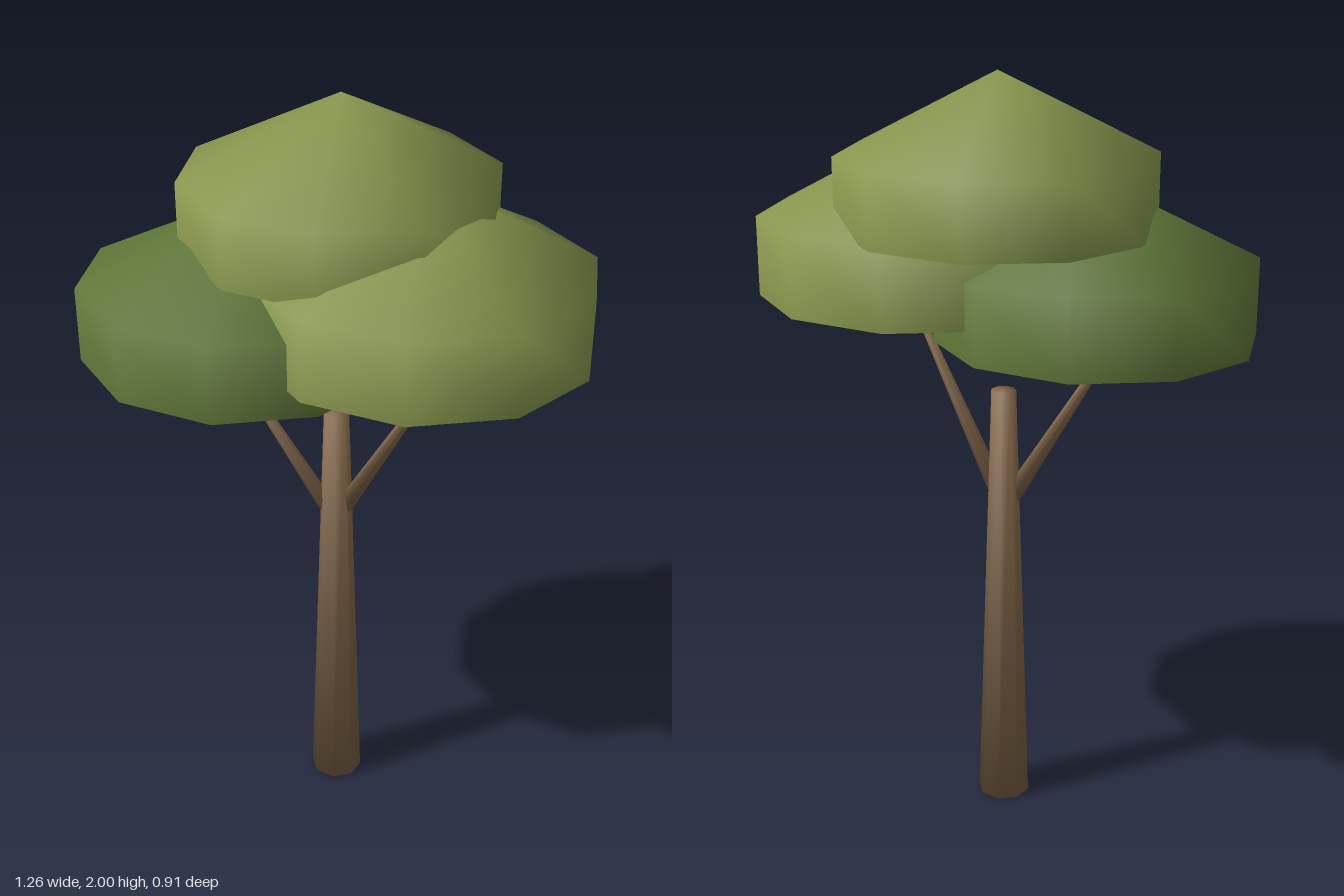
import * as THREE from 'three';
import { mergeVertices } from 'three/addons/utils/BufferGeometryUtils.js';

// Weld a geometry and give it smooth, corner-angle-weighted normals
function smooth(source) {
  source.deleteAttribute('normal');
  source.deleteAttribute('uv');
  const geo = mergeVertices(source, 1e-4);
  const pos = geo.attributes.position;
  const sums = Array.from({ length: pos.count }, () => new THREE.Vector3());
  const point = (i) => new THREE.Vector3().fromBufferAttribute(pos, i);
  for (let t = 0; t < geo.index.count; t += 3) {
    const ids = [0, 1, 2].map((k) => geo.index.getX(t + k));
    const p = ids.map(point);
    const n = new THREE.Vector3().crossVectors(p[1].clone().sub(p[0]), p[2].clone().sub(p[0]));
    if (n.length() < 1e-9) continue;
    n.normalize();
    ids.forEach((id, k) => {
      const a = p[(k + 1) % 3].clone().sub(p[k]);
      const b = p[(k + 2) % 3].clone().sub(p[k]);
      sums[id].addScaledVector(n, a.angleTo(b));
    });
  }
  const normals = sums.flatMap((n) => n.normalize().toArray());
  geo.setAttribute('normal', new THREE.Float32BufferAttribute(normals, 3));
  return geo;
}

export function createModel() {
  const tree = new THREE.Group();
  tree.name = 'tree';

  const bark = new THREE.MeshStandardMaterial({ color: 0x85684a });
  bark.name = 'bark brown';
  const lightLeaf = new THREE.MeshStandardMaterial({ color: 0x8a994f, side: THREE.DoubleSide });
  lightLeaf.name = 'light leaf green';
  const darkLeaf = new THREE.MeshStandardMaterial({ color: 0x617a3a, side: THREE.DoubleSide });
  darkLeaf.name = 'dark leaf green';

  const add = (name, geometry, material) => {
    const mesh = new THREE.Mesh(geometry, material);
    mesh.name = name;
    tree.add(mesh);
    return mesh;
  };

  // Tapered trunk
  const trunk = add('trunk', smooth(new THREE.CylinderGeometry(0.033, 0.07, 1.18, 8)), bark);
  trunk.position.y = 0.59;

  // Slender, slightly flattened branches
  const addBranch = (name, from, to) => {
    const a = new THREE.Vector3(...from);
    const b = new THREE.Vector3(...to);
    const dir = b.clone().sub(a);
    const geo = new THREE.CylinderGeometry(0.007, 0.025, dir.length(), 8);
    geo.scale(1, 1, 0.6);
    const branch = add(name, smooth(geo), bark);
    branch.position.addVectors(a, b).multiplyScalar(0.5);
    branch.quaternion.setFromUnitVectors(new THREE.Vector3(0, 1, 0), dir.normalize());
  };
  addBranch('leftBranch', [0, 0.86, 0], [0.3, 1.43, 0.13]);
  addBranch('rightBranch', [0, 0.85, 0], [-0.31, 1.37, -0.006]);

  // Ten-sided hollow canopies, open underneath: a short wall and a conical roof
  const addCanopy = (name, material, [x, z], [rx, rz], [bottom, rim, top]) => {
    const profile = [[1, bottom], [1, rim], [0, top]].map((p) => new THREE.Vector2(...p));
    const geo = new THREE.LatheGeometry(profile, 10);
    geo.scale(rx, 1, rz);
    add(name, smooth(geo), material).position.set(x, 0, z);
  };
  addCanopy('topCanopy', lightLeaf, [0, -0.07], [0.4, 0.385], [1.62, 1.8, 2]);
  addCanopy('leftCanopy', lightLeaf, [0.22, 0.053], [0.426, 0.4], [1.415, 1.62, 1.84]);
  addCanopy('rightCanopy', darkLeaf, [-0.24, -0.012], [0.41, 0.393], [1.34, 1.535, 1.74]);

  return tree;
}
